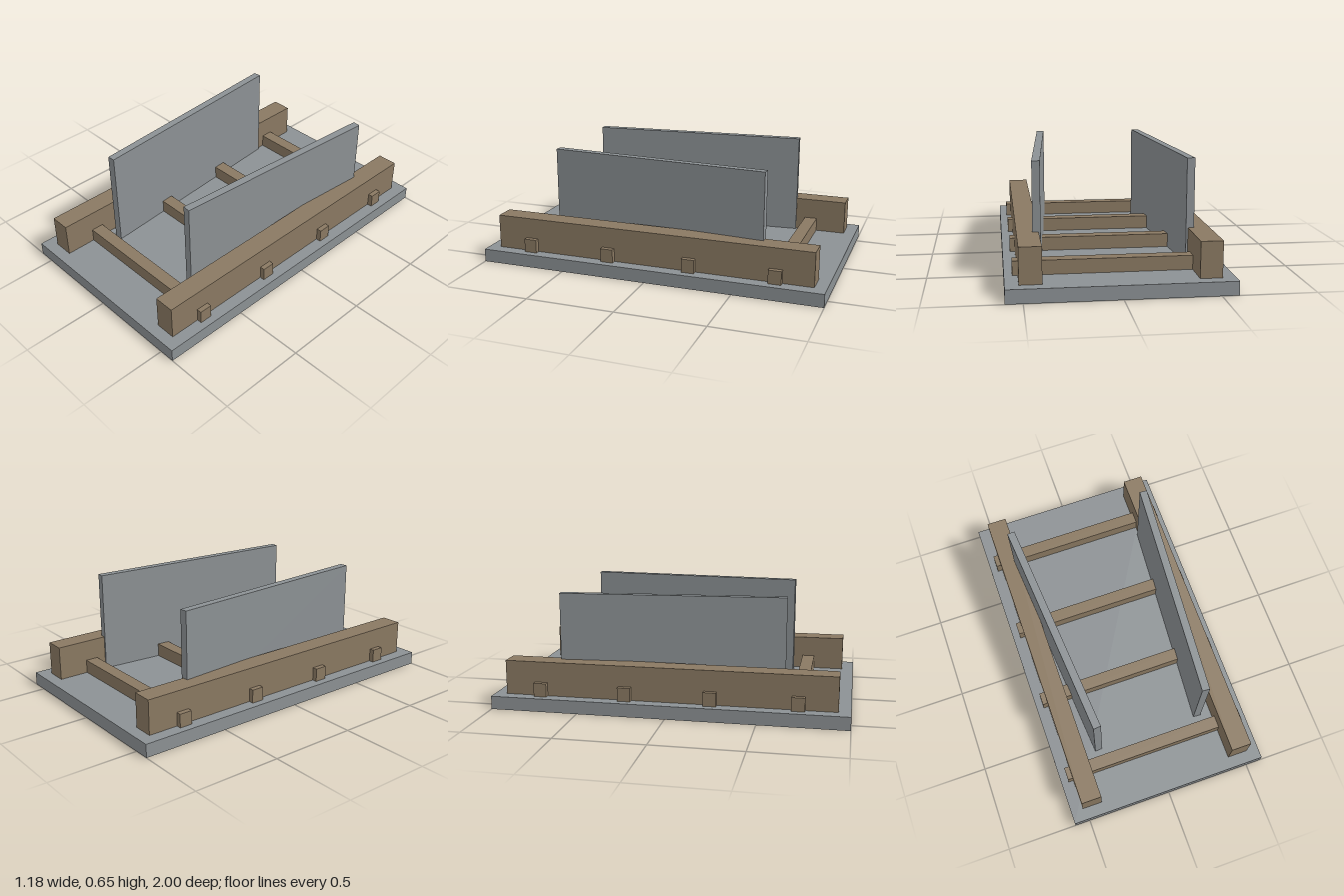
import * as THREE from 'three';

export function createModel() {
  const group = new THREE.Group();
  const stone = new THREE.MeshStandardMaterial({ color: 0x8c9194 });
  stone.name = 'grey stone';
  const wood = new THREE.MeshStandardMaterial({ color: 0x8a7962 });
  wood.name = 'brown wood';

  // Box given by its width, depth, bottom and top heights
  function block(name, material, width, depth, bottom, top, x, z) {
    const mesh = new THREE.Mesh(new THREE.BoxGeometry(width, top - bottom, depth), material);
    mesh.name = name;
    mesh.position.set(x, (bottom + top) / 2, z);
    group.add(mesh);
    return mesh;
  }

  block('basePlate', stone, 1.18, 2, 0, 0.075, 0, 0);

  // Long beams and the upright panels that converge towards the front
  for (const [side, label] of [[1, 'left'], [-1, 'right']]) {
    block(label + 'Beam', wood, 0.118, 1.865, 0.02, 0.27, side * 0.46, 0);
    const panel = block(label + 'Panel', stone, 0.044, 1.27, 0.02, 0.65, side * 0.364, 0);
    panel.rotation.y = -side * 0.076;
  }

  // Crossbars whose ends poke out through the beams
  [-0.725, -0.24, 0.24, 0.72].forEach((z, i) => {
    block('crossbar' + (i + 1), wood, 1.095, 0.073, 0.02, 0.152, 0, z);
  });

  return group;
}
